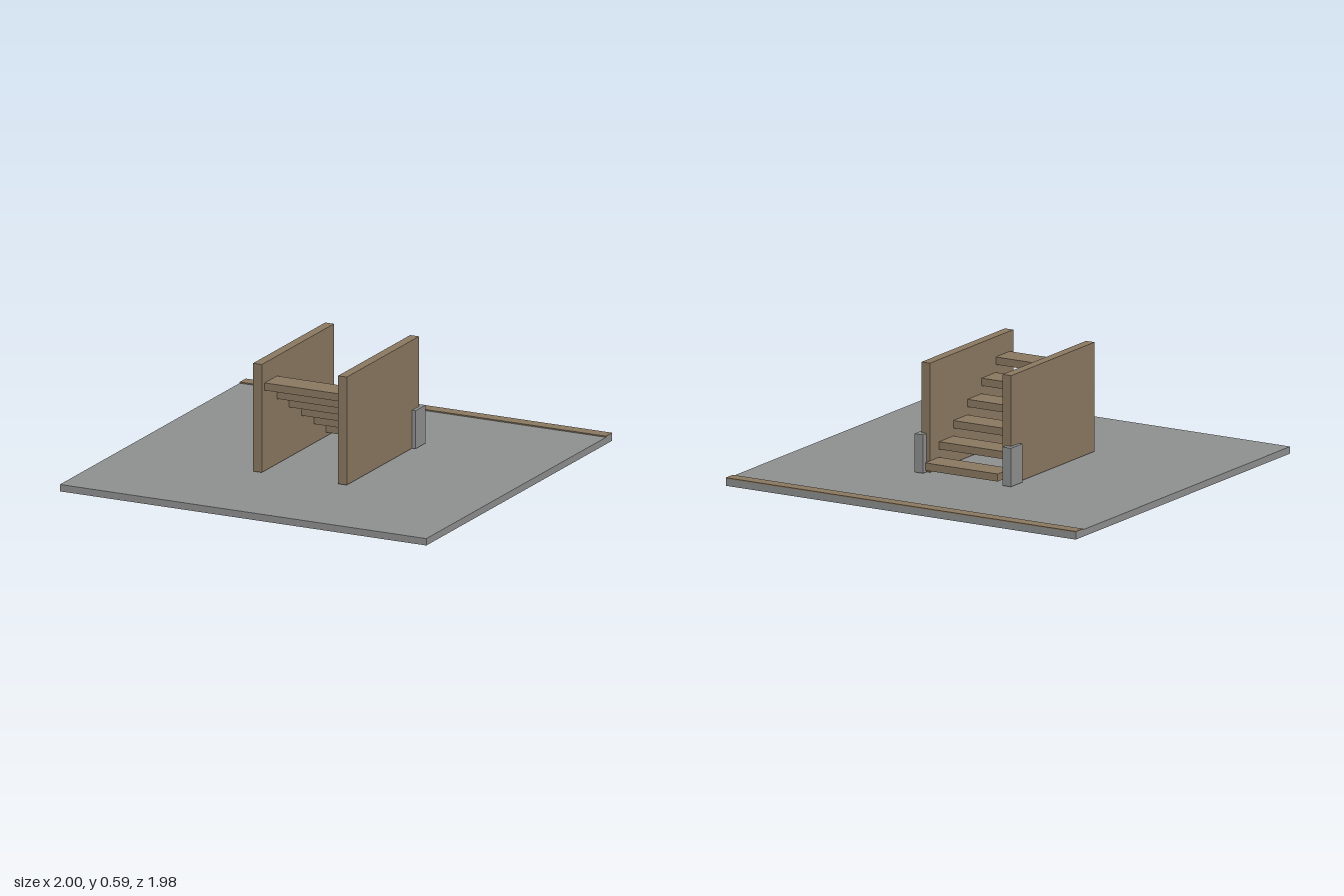
import * as THREE from 'three';

export function createModel() {
  const model = new THREE.Group();
  model.name = 'openStaircase';

  const wood = new THREE.MeshStandardMaterial({ color: 0x8c7a62 });
  wood.name = 'wood';
  const stone = new THREE.MeshStandardMaterial({ color: 0x909291 });
  stone.name = 'greyStone';

  // Box given by its [min, max] range on each axis
  function box(name, material, [x0, x1], [y0, y1], [z0, z1]) {
    const mesh = new THREE.Mesh(new THREE.BoxGeometry(x1 - x0, y1 - y0, z1 - z0), material);
    mesh.position.set((x0 + x1) / 2, (y0 + y1) / 2, (z0 + z1) / 2);
    mesh.name = name;
    model.add(mesh);
  }

  // Floor slab with a thin wooden strip along the back edge
  box('floorSlab', stone, [-1, 1], [0, 0.035], [-0.99, 0.99]);
  box('backEdgeStrip', wood, [-1, 1], [0.035, 0.041], [-0.99, -0.925]);

  // Side walls and the small posts at their back ends
  for (const [side, s] of [['left', 1], ['right', -1]]) {
    const span = (a, b) => (s > 0 ? [a, b] : [-b, -a]);
    box(side + 'SideWall', wood, span(0.208, 0.256), [0.042, 0.59], [-0.385, 0.385]);
    box(side + 'Post', stone, span(0.226, 0.275), [0.042, 0.235], [-0.418, -0.312]);
  }

  // Treads climbing from the back to the front
  const rise = 0.0777, run = 0.1308;
  for (let i = 0; i < 6; i++) {
    const y = 0.062 + i * rise;
    const z = -0.431 + i * run;
    box('tread' + (i + 1), wood, [-0.208, 0.208], [y, y + 0.038], [z, z + run]);
  }

  return model;
}
